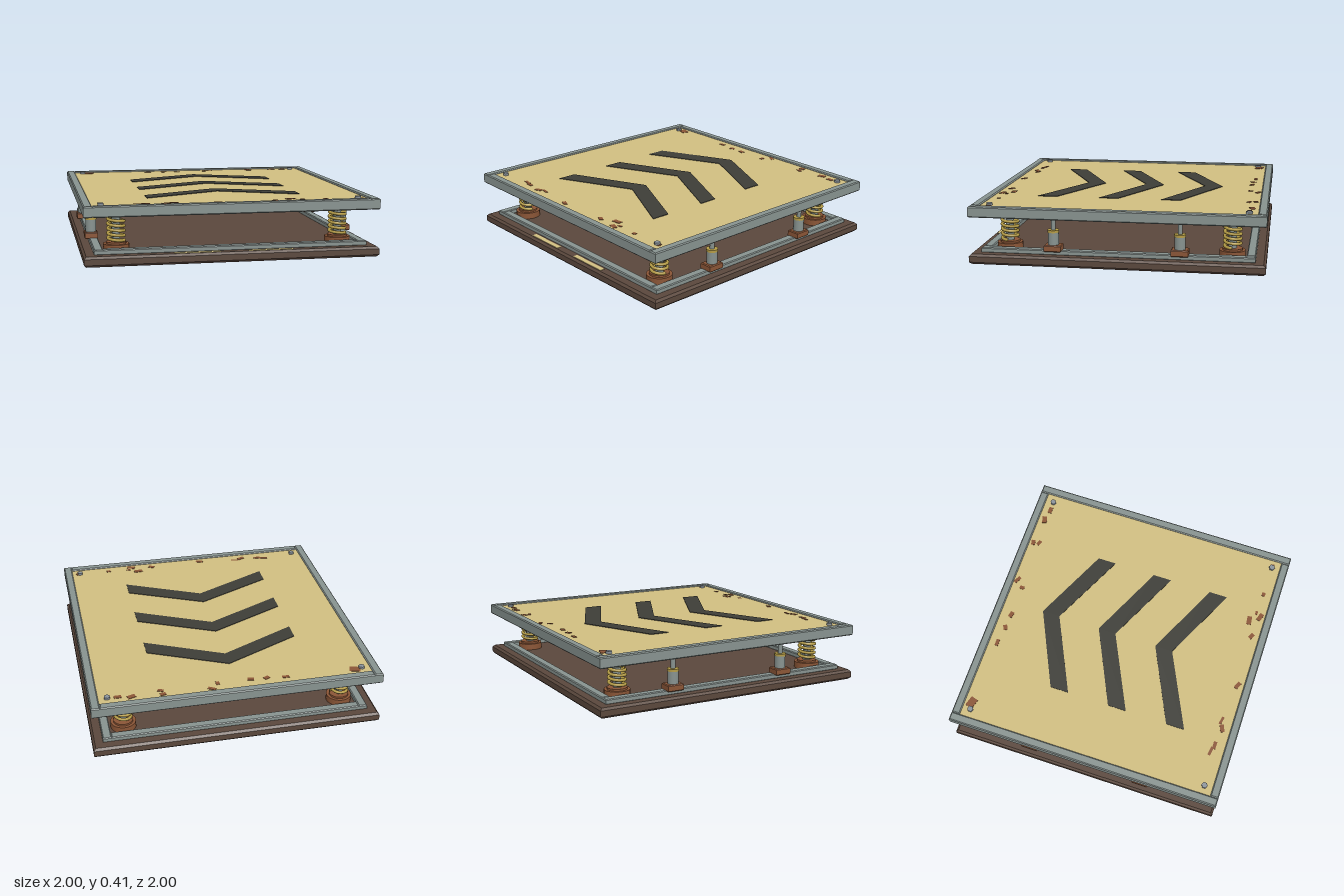
import * as THREE from 'three';

const mat = (color) => new THREE.MeshStandardMaterial({ color });
const steel = mat(0x87928f), wood = mat(0x5a473c), rust = mat(0x8a5536);
const sand = mat(0xd0be80), dark = mat(0x3d3d37), brass = mat(0xb59c46), bolt = mat(0x8b939b);

function add(parent, name, geometry, material, x = 0, y = 0, z = 0) {
  const mesh = new THREE.Mesh(geometry, material);
  mesh.name = name;
  mesh.position.set(x, y, z);
  parent.add(mesh);
  return mesh;
}

// Box with chamfered edges, standing on y = 0
function chamferBox(w, h, d, b) {
  const x = w / 2 - b, z = d / 2 - b;
  const shape = new THREE.Shape([[-x, -z], [x, -z], [x, z], [-x, z]].map(([u, v]) => new THREE.Vector2(u, v)));
  return new THREE.ExtrudeGeometry(shape, {
    depth: h - 2 * b, bevelEnabled: true, bevelThickness: b, bevelSize: b, bevelSegments: 1,
  }).rotateX(-Math.PI / 2).translate(0, b, 0);
}

// Upright cylinder between two heights
function post(r, y0, y1, sides = 20) {
  return new THREE.CylinderGeometry(r, r, y1 - y0, sides).translate(0, (y0 + y1) / 2, 0);
}

// Square frame: two long side rails and two rails fitted between them
function frame(parent, name, half, width, y, height, bevel) {
  const group = new THREE.Group();
  group.name = name;
  const mid = half - width / 2;
  for (const s of [-1, 1]) {
    add(group, 'sideRail', chamferBox(width, height, 2 * half, bevel), steel, s * mid, y, 0);
    add(group, 'endRail', chamferBox(2 * (half - width), height, width, bevel), steel, 0, y, s * mid);
  }
  parent.add(group);
}

class Helix extends THREE.Curve {
  constructor(radius, y0, y1, turns) {
    super();
    Object.assign(this, { radius, y0, y1, turns });
  }
  getPoint(t, target = new THREE.Vector3()) {
    const a = t * this.turns * Math.PI * 2;
    return target.set(this.radius * Math.cos(a), this.y0 + t * (this.y1 - this.y0), this.radius * Math.sin(a));
  }
}

function springUnit() {
  const g = new THREE.Group();
  g.name = 'springUnit';
  add(g, 'lowerSeat', post(0.088, 0.07, 0.115, 24), rust);
  add(g, 'lowerCollar', post(0.068, 0.115, 0.128, 24), rust);
  add(g, 'guideRod', post(0.028, 0.12, 0.31, 16), steel);
  add(g, 'coil', new THREE.TubeGeometry(new Helix(0.055, 0.135, 0.298, 5), 120, 0.011, 8), brass);
  add(g, 'upperCollar', post(0.065, 0.298, 0.308, 24), steel);
  add(g, 'upperSeat', post(0.085, 0.306, 0.355, 24), steel);
  return g;
}

function damper() {
  const g = new THREE.Group();
  g.name = 'damper';
  add(g, 'bracket', chamferBox(0.092, 0.046, 0.118, 0.006), rust, 0, 0.095, 0);
  add(g, 'sleeve', post(0.037, 0.14, 0.228), steel);
  add(g, 'cap', post(0.04, 0.226, 0.243), brass);
  add(g, 'pistonRod', post(0.016, 0.24, 0.355, 12), steel);
  return g;
}

// Thin upward chevron pointing to the back
function chevron() {
  const pts = [[0, 0.645], [0.54, 0.39], [0.54, 0.255], [0, 0.515], [-0.54, 0.255], [-0.54, 0.39]];
  const shape = new THREE.Shape(pts.map(([x, y]) => new THREE.Vector2(x, y)));
  return new THREE.ExtrudeGeometry(shape, { depth: 0.004, bevelEnabled: false }).rotateX(-Math.PI / 2);
}

export function createModel() {
  const model = new THREE.Group();
  model.name = 'springPlatform';

  // Base slab with its raised rim and the two painted strips at the front
  add(model, 'baseSlab', chamferBox(2, 0.07, 2, 0.015), wood);
  frame(model, 'baseRim', 0.93, 0.06, 0.066, 0.036, 0.006);
  for (const s of [-1, 1]) {
    add(model, 'frontStrip', new THREE.BoxGeometry(0.31, 0.007, 0.035), sand, s * 0.25, 0.0695, 0.962);
  }

  // Deck panel in its frame
  const deckTop = 0.39;
  frame(model, 'deckFrame', 1, 0.06, 0.325, 0.075, 0.007);
  add(model, 'deckPanel', new THREE.BoxGeometry(1.9, 0.04, 1.9), sand, 0, deckTop - 0.02, 0);
  for (let i = 0; i < 3; i++) add(model, 'chevron', chevron(), dark, 0, deckTop, i * 0.44);

  // Springs and bolts at the corners, dampers along both sides
  for (const sx of [-1, 1]) {
    for (const sz of [-1, 1]) {
      const spring = springUnit();
      spring.position.set(sx * 0.77, 0, sz * 0.77);
      const shock = damper();
      shock.position.set(sx * 0.913, 0, sz * 0.43);
      model.add(spring, shock);
      add(model, 'deckBolt', post(0.022, 0.38, 0.406, 6), bolt, sx * 0.88, 0, sz * 0.88);
    }
  }

  // Rust flakes along the front and back edges: x, z, length, width, turn
  const flakes = [
    [-0.83, -0.89, 0.075, 0.055, -0.3], [-0.34, -0.88, 0.05, 0.025, 0], [-0.21, -0.865, 0.04, 0.03, 0.5],
    [-0.1, -0.86, 0.045, 0.03, -0.2], [0.13, -0.86, 0.025, 0.035, 0], [0.18, -0.915, 0.055, 0.025, -0.5],
    [0.51, -0.91, 0.04, 0.03, 0.2], [0.52, -0.865, 0.04, 0.025, -0.4], [0.72, -0.895, 0.055, 0.035, 0.3],
    [0.81, -0.88, 0.05, 0.03, 0], [-0.63, 0.85, 0.065, 0.02, -0.15], [-0.58, 0.865, 0.055, 0.025, 0],
    [-0.445, 0.88, 0.055, 0.03, 0.4], [-0.39, 0.86, 0.06, 0.018, -0.2], [-0.1, 0.895, 0.055, 0.028, -0.4],
    [0.3, 0.885, 0.045, 0.028, -0.5], [0.415, 0.835, 0.065, 0.035, 0.1], [0.465, 0.905, 0.06, 0.032, -0.3],
    [0.49, 0.87, 0.03, 0.018, 0], [0.65, 0.88, 0.03, 0.025, 0.1], [0.9, 0.88, 0.02, 0.03, 0.4],
  ];
  for (const [x, z, length, width, turn] of flakes) {
    add(model, 'rustFlake', new THREE.BoxGeometry(length, 0.006, width), rust, x, deckTop, z).rotation.y = turn;
  }
  return model;
}
